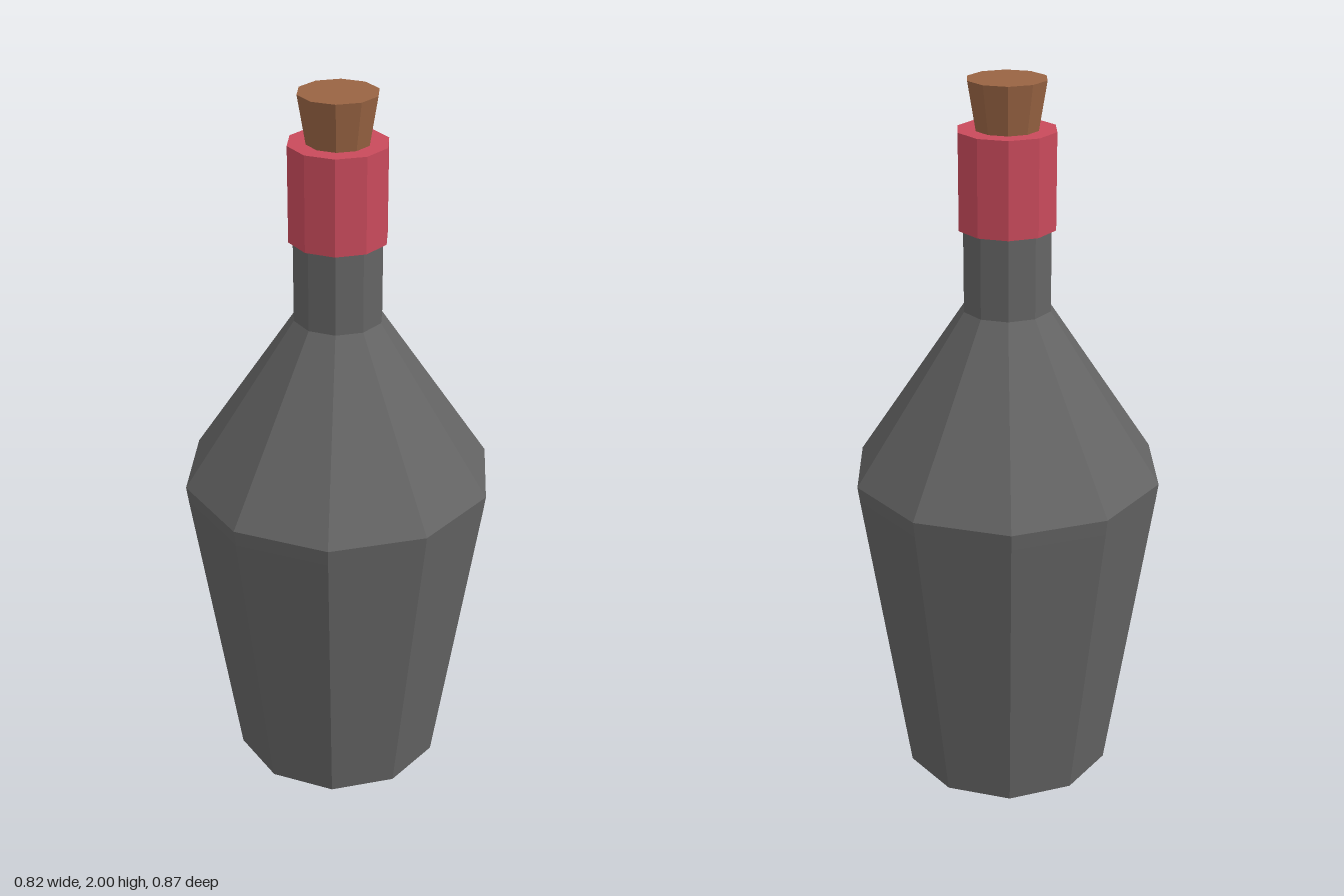
import * as THREE from 'three';

const SIDES = 10;

function material(name, color) {
  return new THREE.MeshStandardMaterial({ name, color, flatShading: true, side: THREE.DoubleSide });
}

// Ten-sided turned part from [radius, height] pairs, with a corner towards the front
function turned(name, profile, mat) {
  const points = profile.map(([r, y]) => new THREE.Vector2(r, y));
  const mesh = new THREE.Mesh(new THREE.LatheGeometry(points, SIDES), mat);
  mesh.name = name;
  return mesh;
}

export function createModel() {
  const glass = material('dark grey glass', 0x646464);
  const red = material('red wrap', 0xc84a5b);
  const corkBrown = material('cork brown', 0x996443);

  const bottle = new THREE.Group();
  bottle.name = 'bottle';
  bottle.add(
    // Hollow body, open underneath: tapered wall, small bevel, shoulder and neck
    turned('bottleBody', [[0.298, 0], [0.427, 0.87], [0.433, 0.915], [0.122, 1.385], [0.122, 1.62]], glass),
    // Wrap around the mouth of the neck
    turned('neckWrap', [[0.122, 1.61], [0.134, 1.61], [0.134, 1.87], [0, 1.87]], red),
    // Stopper that widens upwards
    turned('cork', [[0.085, 1.87], [0.107, 2], [0, 2]], corkBrown),
  );
  return bottle;
}
